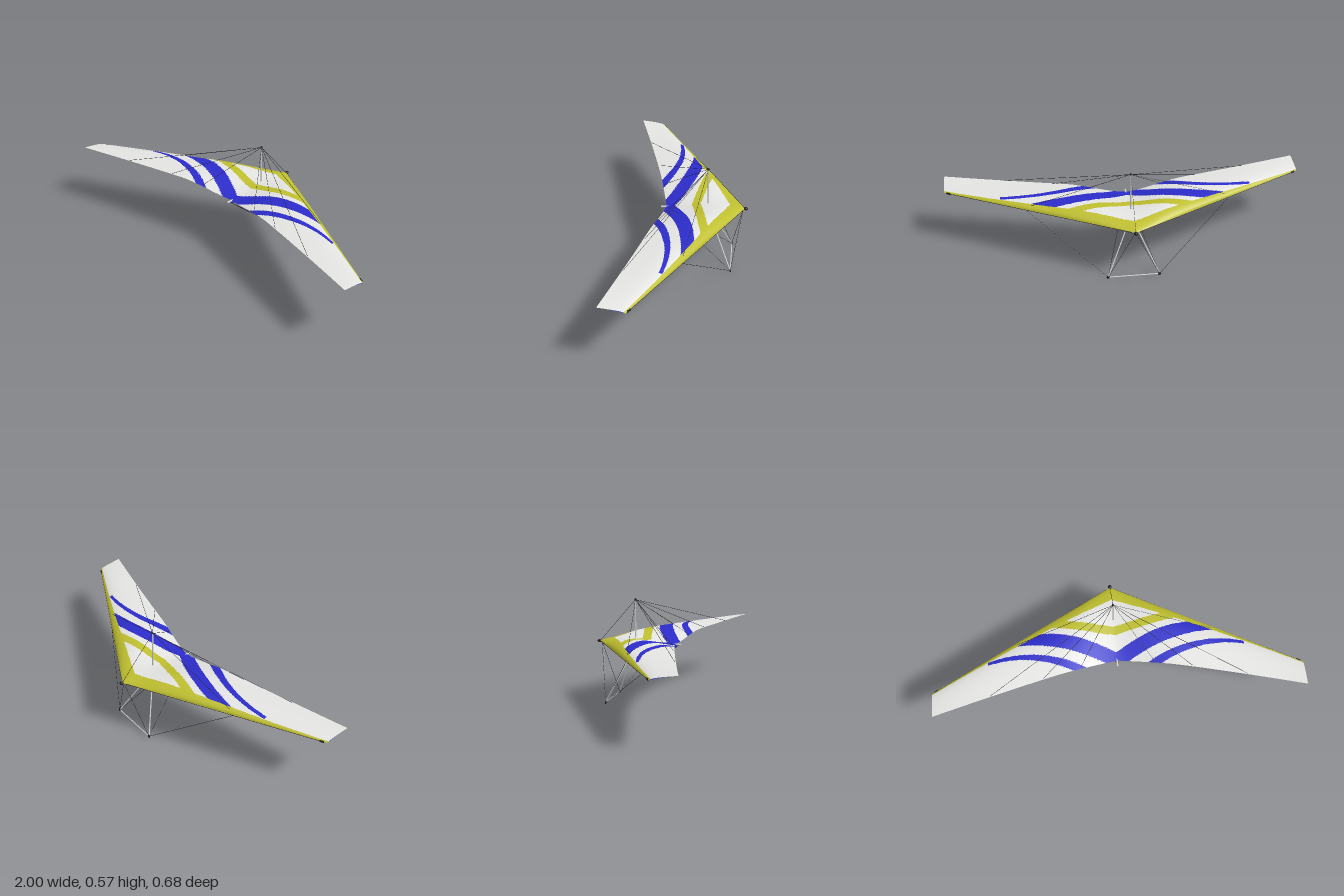
import * as THREE from 'three';

const { lerp, smoothstep } = THREE.MathUtils;

const mat = (name, color, side = THREE.FrontSide) => {
  const m = new THREE.MeshStandardMaterial({ color, side });
  m.name = name;
  return m;
};

// Planform of the sail: u is the distance from the keel, 0 to 1
const leadZ = (u) => -0.325 + 0.53 * u;
const trailZ = (u) => 0.105 + 0.235 * Math.pow(u, 1.15);
const leadY = (u) => 0.326 + 0.007 * u;
const trailY = (u) => 0.324 + 0.036 * smoothstep(u, 0, 0.34);
const JOIN = 0.55; // chord fraction where the lower skin meets the upper

function upperPoint(x, t) {
  const u = Math.abs(x);
  const camber = 0.028 + 0.014 * smoothstep(u, 0, 0.2) - 0.036 * Math.pow(u, 1.3);
  const blunt = lerp(0.7, 0.52, smoothstep(u, 0, 0.4)); // rounder front edge away from the nose
  const y = lerp(leadY(u), trailY(u), t) + camber * Math.sin(Math.PI * Math.pow(t, blunt));
  return [x, y, lerp(leadZ(u), trailZ(u), t)];
}

// Lower skin: the upper curve less a thickness that fades toward the tips
function lowerPoint(x, s) {
  const u = Math.abs(x);
  const p = upperPoint(x, JOIN * s);
  const thickness = 0.05 * Math.pow(1 - u, 1.5) + 0.003;
  p[1] -= thickness * Math.sin(Math.PI * Math.pow(s, lerp(0.7, 0.52, smoothstep(u, 0, 0.4))));
  return p;
}

// Colour index on the sail: 0 white, 1 yellow, 2 blue
function upperColor(x, z) {
  const u = Math.abs(x);
  if (z < leadZ(u) + 0.073 * Math.pow(1 - u, 1.6) + 0.009) return 1;
  if (u < 0.45 && z > -0.083 - 0.2 * u && z < -0.035 - 0.2 * u) return 1;
  if (u < 0.56 && z > 0.06 - 0.6 * u + 0.68 * u * u && z < 0.15 - 0.6 * u + 0.55 * u * u) return 2;
  if (u > 0.15 && u < 0.69 && z > 0.041 + 0.75 * (u - 0.52) ** 2 && z < 0.067 + 0.8 * (u - 0.56) ** 2) return 2;
  return 0;
}

function lowerColor(x, z) {
  const u = Math.abs(x);
  if (z < leadZ(u) + 0.005) return 1;
  return u > 0.32 && u < 0.68 && z > -0.04 && z < 0.02 ? 1 : 2;
}

// Grid surface whose triangles are sorted into one group per colour
function sheet(name, point, colorAt, nx, nt, flip, materials) {
  const pos = [];
  for (let i = 0; i <= nx; i++)
    for (let j = 0; j <= nt; j++) pos.push(...point(-1 + (2 * i) / nx, j / nt));
  const lists = materials.map(() => []);
  const tri = (a, b, c) => {
    const mid = (k) => (pos[a * 3 + k] + pos[b * 3 + k] + pos[c * 3 + k]) / 3;
    lists[colorAt(mid(0), mid(2))].push(...(flip ? [a, c, b] : [a, b, c]));
  };
  for (let i = 0; i < nx; i++)
    for (let j = 0; j < nt; j++) {
      const a = i * (nt + 1) + j, c = a + nt + 1;
      tri(a, a + 1, c);
      tri(a + 1, c + 1, c);
    }
  const g = new THREE.BufferGeometry();
  g.setAttribute('position', new THREE.Float32BufferAttribute(pos, 3));
  g.setIndex(lists.flat());
  let start = 0;
  lists.forEach((l, k) => {
    if (l.length) g.addGroup(start, l.length, k);
    start += l.length;
  });
  g.computeVertexNormals();
  const mesh = new THREE.Mesh(g, materials);
  mesh.name = name;
  return mesh;
}

export function createModel() {
  const glider = new THREE.Group();
  glider.name = 'hangGlider';
  const sailColors = [
    mat('white sail', 0xe4e4e2, THREE.DoubleSide),
    mat('yellow sail', 0xbfbf30, THREE.DoubleSide),
    mat('blue sail', 0x2c2cca, THREE.DoubleSide),
  ];
  const silver = mat('silver tube', 0xd0d0d0);
  const black = mat('black fittings', 0x1c1c20);

  const add = (name, geometry, material, p = [0, 0, 0]) => {
    const m = new THREE.Mesh(geometry, material);
    m.name = name;
    m.position.set(...p);
    glider.add(m);
    return m;
  };
  // Straight round bar between two points
  const bar = (name, from, to, r, material, sides = 12) => {
    const a = new THREE.Vector3(...from), b = new THREE.Vector3(...to);
    const d = b.clone().sub(a);
    const m = add(name, new THREE.CylinderGeometry(r, r, d.length(), sides), material);
    m.position.copy(a).addScaledVector(d, 0.5);
    m.quaternion.setFromUnitVectors(new THREE.Vector3(0, 1, 0), d.normalize());
  };
  const wire = (name, from, to) => bar(name, from, to, 0.001, black, 5);
  const ball = (name, r, p) => add(name, new THREE.SphereGeometry(r, 16, 12), black, p);

  // Sail: cambered upper skin and a bulged lower skin under its front half
  glider.add(sheet('upperSail', upperPoint, upperColor, 260, 100, false, sailColors));
  glider.add(sheet('lowerSail', lowerPoint, lowerColor, 240, 50, true, sailColors));

  // Keel, nose cone and kingpost
  bar('keel', [0, 0.321, 0.135], [0, 0.321, -0.32], 0.005, silver);
  ball('noseCone', 0.01, [0, 0.326, -0.329]).scale.set(1, 0.9, 1.2);
  const mastTop = [0, 0.561, -0.123];
  bar('kingpost', [0, 0.325, -0.123], mastTop, 0.004, silver);
  ball('kingpostCap', 0.006, [0, 0.563, -0.123]);

  // Cloth pocket hanging under the rear of the keel
  const pocket = new THREE.Shape();
  pocket.moveTo(-0.12, 0.322);
  pocket.quadraticCurveTo(-0.11, 0.302, -0.085, 0.303);
  pocket.quadraticCurveTo(-0.06, 0.305, -0.035, 0.316);
  pocket.lineTo(-0.035, 0.322);
  add('keelPocket', new THREE.ExtrudeGeometry(pocket, { depth: 0.006, bevelEnabled: false }),
    sailColors[2], [-0.003, 0, 0]).rotation.y = Math.PI / 2;

  // Hang strap and loop
  add('hangStrap', new THREE.BoxGeometry(0.012, 0.016, 0.012), black, [0, 0.32, -0.073]);
  const loop = add('hangLoop', new THREE.TorusGeometry(0.006, 0.0015, 8, 20), silver, [0, 0.304, -0.073]);
  loop.rotation.y = Math.PI / 2;
  loop.scale.y = 1.6;

  // Control frame
  ball('frameApex', 0.005, [0, 0.305, -0.125]);
  bar('baseBar', [-0.14, 0.01, -0.256], [0.14, 0.01, -0.256], 0.003, silver);

  for (const s of [-1, 1]) {
    const corner = [s * 0.14, 0.01, -0.256];
    bar('downtube', [0, 0.308, -0.125], corner, 0.0032, silver);
    ball('frameCorner', 0.009, corner).scale.z = 0.5;

    // Leading edge pole with its tip cap
    const edge = (u) => [s * u, leadY(u) - 0.0005, leadZ(u) + 0.001];
    bar('leadingEdgePole', edge(0.02), edge(0.97), 0.0015, black, 8);
    bar('tipCap', edge(0.965), edge(0.985), 0.005, black);

    // Upper rigging from the kingpost
    for (const u of [0.2, 0.4, 0.69]) wire('upperWire', mastTop, upperPoint(s * u, 0.98));
    wire('upperSideWire', mastTop, [s * 0.56, 0.338, -0.02]);

    // Lower rigging from the control frame corner
    wire('lowerSideWire', corner, [s * 0.56, 0.327, -0.02]);
    wire('lowerFrontWire', corner, [0, 0.322, -0.315]);
    wire('lowerRearWire', corner, [0, 0.318, 0.12]);
  }
  wire('noseWire', mastTop, [0, 0.33, -0.322]);

  return glider;
}
